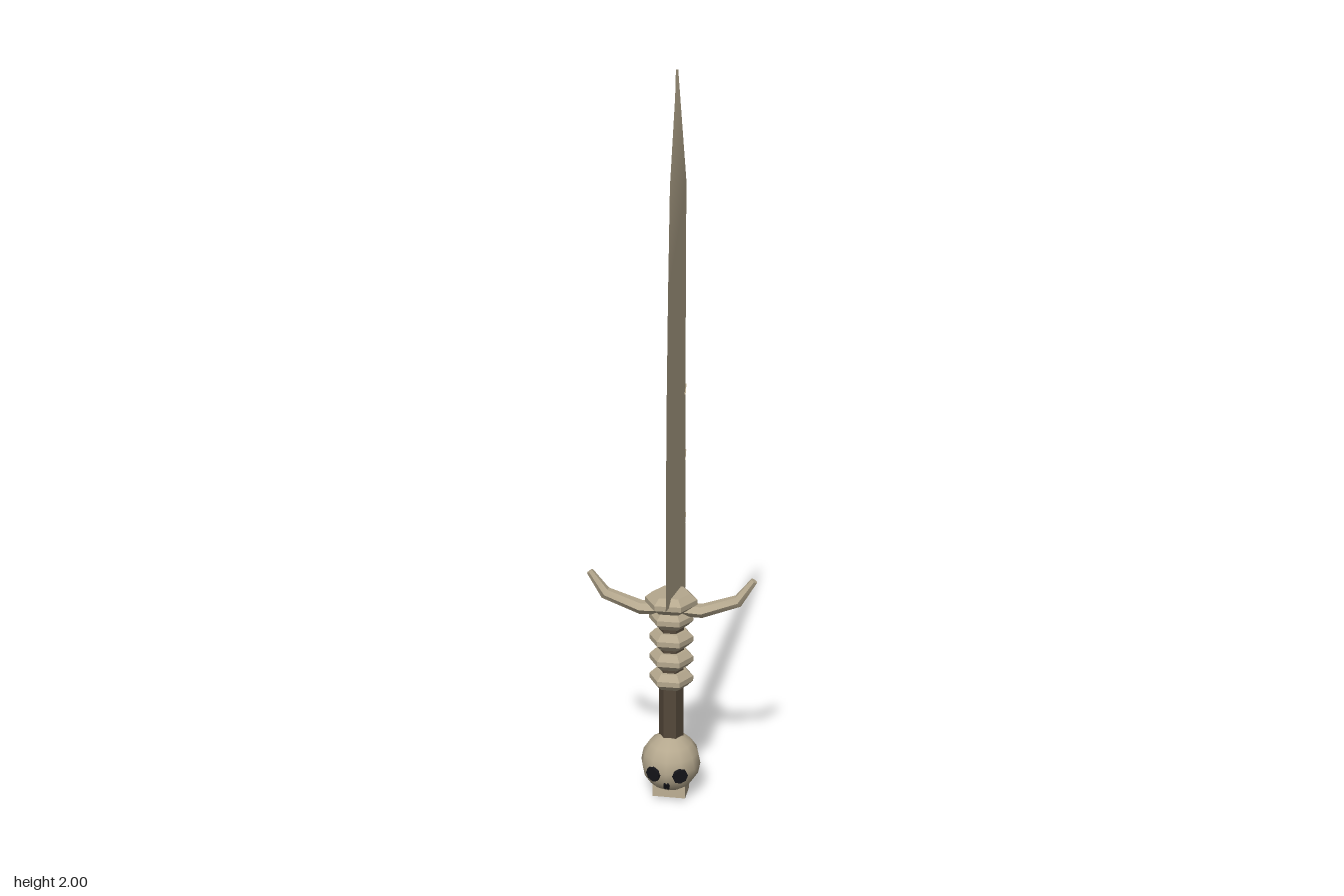
import * as THREE from 'three';
import { toCreasedNormals } from 'three/addons/utils/BufferGeometryUtils.js';

const mat = (name, color) => {
  const m = new THREE.MeshStandardMaterial({ color });
  m.name = name;
  return m;
};

// Skins a list of equal-length rings (counter-clockwise seen from the end) and caps both ends
function loft(rings, crease = 0.4) {
  const n = rings[0].length, index = [], last = (rings.length - 1) * n;
  for (let r = 0; r < rings.length - 1; r++) {
    for (let i = 0; i < n; i++) {
      const a = r * n + i, b = r * n + (i + 1) % n;
      index.push(a, b, b + n, a, b + n, a + n);
    }
  }
  for (let i = 1; i < n - 1; i++) {
    index.push(0, i + 1, i, last, last + i, last + i + 1);
  }
  const g = new THREE.BufferGeometry();
  g.setAttribute('position', new THREE.Float32BufferAttribute(rings.flat(2), 3));
  g.setIndex(index);
  return toCreasedNormals(g, crease);
}

export function createModel() {
  const bone = mat('bone', 0xb5a88e);
  const leather = mat('darkLeather', 0x54483a);
  const black = mat('black', 0x15151a);
  const model = new THREE.Group();
  model.name = 'boneSword';
  const gripZ = 0.035;

  const add = (name, geometry, material, x = 0, y = 0, z = 0, parent = model) => {
    const mesh = new THREE.Mesh(geometry, material);
    mesh.name = name;
    mesh.position.set(x, y, z);
    parent.add(mesh);
    return mesh;
  };

  // Blade: wedge section, given as [y, cutting edge z, spine z, half width]
  const blade = [
    [0.60, 0.128, -0.057, 0.026], [0.90, 0.122, -0.057, 0.025], [1.18, 0.108, -0.062, 0.023],
    [1.45, 0.085, -0.078, 0.021], [1.72, 0.054, -0.102, 0.018], [2.0, -0.053, -0.059, 0.003],
  ];
  add('blade', loft(blade.map(([y, f, b, w]) => [[0, y, f], [w, y, b], [-w, y, b]])), bone);

  // Spikes along the spine
  const spikeGeo = toCreasedNormals(new THREE.ConeGeometry(0.029, 0.08, 6), 0.4);
  for (const y of [0.785, 0.967, 1.152]) {
    add('spike', spikeGeo, bone, 0, y, -0.094).rotation.x = -2.1;
  }

  // Guard horns: [x, y, radius in the bend plane, radius in z]
  const path = [[0, 0.575, 0.02, 0.028], [0.085, 0.57, 0.018, 0.026],
    [0.185, 0.606, 0.017, 0.019], [0.228, 0.668, 0.01, 0.01]];
  const rings = path.map(([x, y, ry, rz], i) => {
    const p = path[Math.max(i - 1, 0)], q = path[Math.min(i + 1, path.length - 1)];
    const len = Math.hypot(q[0] - p[0], q[1] - p[1]);
    const tx = (q[0] - p[0]) / len, ty = (q[1] - p[1]) / len;
    return Array.from({ length: 6 }, (_, k) => {
      const a = (k + 0.5) * Math.PI / 3, c = Math.cos(a) * ry;
      return [x - ty * c, y + tx * c, Math.sin(a) * rz];
    });
  });
  const hornGeo = loft(rings, 0.5);
  add('leftGuardHorn', hornGeo, bone, 0, 0, gripZ);
  add('rightGuardHorn', hornGeo, bone, 0, 0, gripZ).rotation.y = Math.PI;

  // Six-sided knuckle rings with bevelled rims, and the larger collar
  const knuckle = (name, y, r, h) => {
    const profile = [[0, -h], [r * 0.72, -h], [r, -h * 0.3], [r, h * 0.3], [r * 0.72, h], [0, h]]
      .map(([a, b]) => new THREE.Vector2(a, b));
    const g = new THREE.LatheGeometry(profile, 6);
    g.rotateY(Math.PI / 2);
    add(name, toCreasedNormals(g, 0.4), bone, 0, y, gripZ);
  };
  for (const y of [0.365, 0.425, 0.485, 0.547]) knuckle('gripRing', y, 0.062, 0.024);
  knuckle('guardCollar', 0.595, 0.073, 0.024);

  // Grip
  const gripGeo = new THREE.CylinderGeometry(0.035, 0.035, 0.43, 6);
  gripGeo.rotateY(Math.PI / 2);
  add('grip', toCreasedNormals(gripGeo, 0.4), leather, 0, 0.385, gripZ);

  // Skull pommel
  const skull = new THREE.Group();
  skull.name = 'skullPommel';
  skull.position.set(0, 0.108, 0.045);
  model.add(skull);
  add('cranium', new THREE.SphereGeometry(0.085, 12, 8), bone, 0, 0, 0, skull);
  const jaw = add('jaw', new THREE.BoxGeometry(0.094, 0.085, 0.076), bone, 0, -0.059, -0.004, skull);
  jaw.rotation.x = -0.12;

  // Eye sockets and nostrils, lying on the cranium
  const disc = (name, r, x, y) => {
    const g = new THREE.CylinderGeometry(r, r, 0.009, 8);
    g.rotateX(Math.PI / 2);
    const dir = new THREE.Vector3(x, y, Math.sqrt(0.083 ** 2 - x * x - y * y));
    const mesh = add(name, g, black, dir.x, dir.y, dir.z, skull);
    mesh.quaternion.setFromUnitVectors(new THREE.Vector3(0, 0, 1), dir.normalize());
    return mesh;
  };
  for (const s of [-1, 1]) {
    disc('eyeSocket', 0.022, s * 0.038, -0.006);
    disc('nostril', 0.007, s * 0.004, -0.04).scale.set(0.7, 1.9, 1);
  }
  return model;
}
